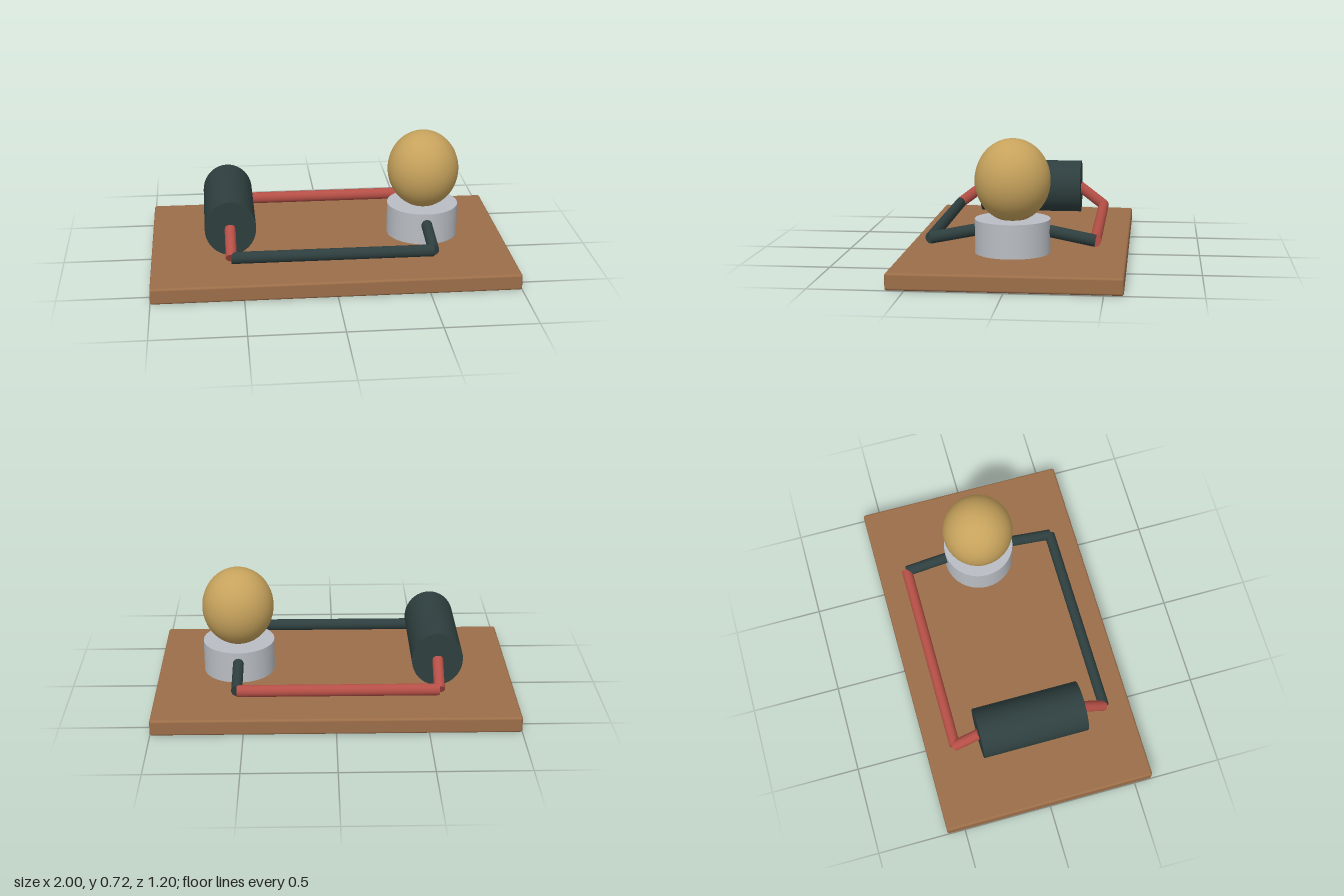
import * as THREE from 'three';
import { RoundedBoxGeometry } from 'three/addons/geometries/RoundedBoxGeometry.js';

const STRETCH = 1.1; // the circuit parts are slightly taller than round

function material(name, color) {
  const m = new THREE.MeshStandardMaterial({ color });
  m.name = name;
  return m;
}

export function createModel() {
  const wood = material('wood', 0x9c6e49);
  const dark = material('darkSlate', 0x2e3e3e);
  const red = material('red', 0xb54f46);
  const metal = material('metal', 0xb9bdc3);
  const amber = material('amber', 0xc6a25c);

  const model = new THREE.Group();
  model.name = 'lampCircuit';
  const circuit = new THREE.Group();
  circuit.name = 'circuit';
  circuit.scale.y = STRETCH;

  const add = (parent, name, geometry, mat, x, y, z) => {
    const mesh = new THREE.Mesh(geometry, mat);
    mesh.name = name;
    mesh.position.set(x, y, z);
    parent.add(mesh);
    return mesh;
  };

  // Baseboard with softened edges
  add(model, 'baseboard', new RoundedBoxGeometry(2, 0.09, 1.2, 3, 0.013), wood, 0, 0.045, 0);

  // Battery lying along z
  const battery = new THREE.CylinderGeometry(0.14, 0.14, 0.6, 40).rotateX(Math.PI / 2);
  add(circuit, 'battery', battery, dark, -0.56, 0.296 / STRETCH, 0);

  // Lamp holder and bulb
  add(circuit, 'lampHolder', new THREE.CylinderGeometry(0.2, 0.2, 0.18 / STRETCH, 40), metal, 0.54, 0.206 / STRETCH, 0);
  add(circuit, 'bulb', new THREE.SphereGeometry(0.2, 40, 28), amber, 0.54, 0.5 / STRETCH, 0);

  // Straight wire between two points
  const wire = (name, mat, a, b) => {
    const p = new THREE.Vector3(a[0], a[1] / STRETCH, a[2]);
    const q = new THREE.Vector3(b[0], b[1] / STRETCH, b[2]);
    const dir = q.clone().sub(p);
    const mid = p.clone().add(q).multiplyScalar(0.5);
    const mesh = add(circuit, name, new THREE.CylinderGeometry(0.03, 0.03, dir.length(), 20), mat, mid.x, mid.y, mid.z);
    mesh.quaternion.setFromUnitVectors(new THREE.Vector3(0, 1, 0), dir.normalize());
  };

  // Mirrored wire runs: battery lead, long run, lamp lead
  for (const side of [1, -1]) {
    const label = side > 0 ? 'front' : 'back';
    const z = 0.437 * side;
    wire(label + 'BatteryLead', red, [-0.562, 0.295, 0.29 * side], [-0.562, 0.183, z]);
    wire(label + 'LongWire', side > 0 ? dark : red, [-0.562, 0.183, z], [0.537, 0.183, z]);
    wire(label + 'LampLead', dark, [0.537, 0.232, 0.19 * side], [0.537, 0.183, z]);
  }

  model.add(circuit);
  return model;
}
